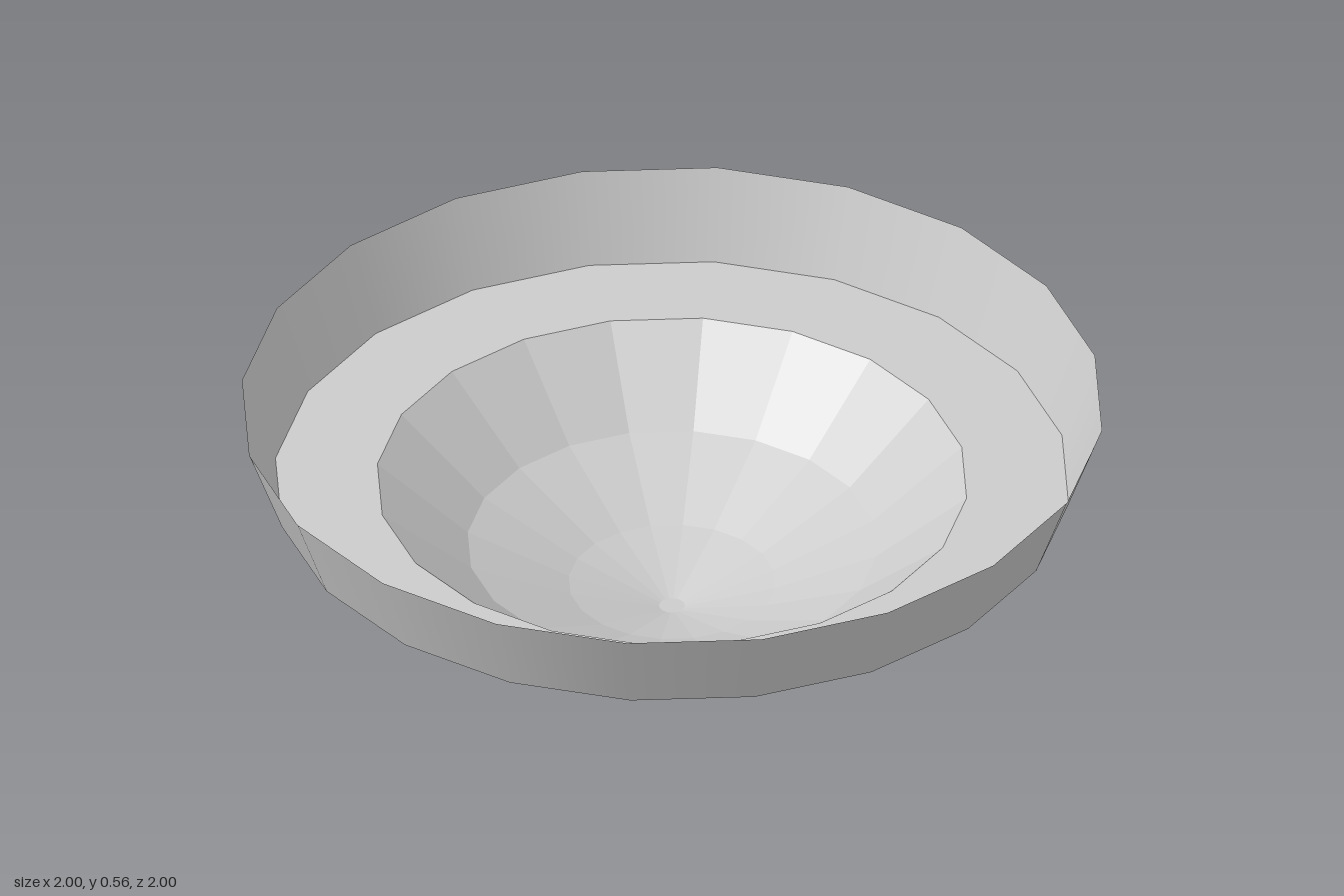
import * as THREE from 'three';

const SIDES = 20;

// Revolves [radius, height] pairs into a thin open shell
function shell(name, profile, flatShading) {
  const points = profile.map(([r, y]) => new THREE.Vector2(r, y));
  const material = new THREE.MeshStandardMaterial({
    color: 0xcccccc, flatShading, side: THREE.DoubleSide,
  });
  const mesh = new THREE.Mesh(new THREE.LatheGeometry(points, SIDES), material);
  mesh.name = name;
  return mesh;
}

export function createModel() {
  const dish = new THREE.Group();
  dish.name = 'dish';

  // Faceted bowl with a tiny flat base
  dish.add(shell('bowl', [[0, 0], [0.03, 0], [0.24, 0.065], [0.475, 0.17], [0.685, 0.345]], true));

  // Flat ledge around the bowl
  dish.add(shell('ledge', [[0.685, 0.345], [0.922, 0.345]], true));

  // Flared outer wall, smooth around
  dish.add(shell('rim', [[0.922, 0.345], [1, 0.555]], false));

  return dish;
}
